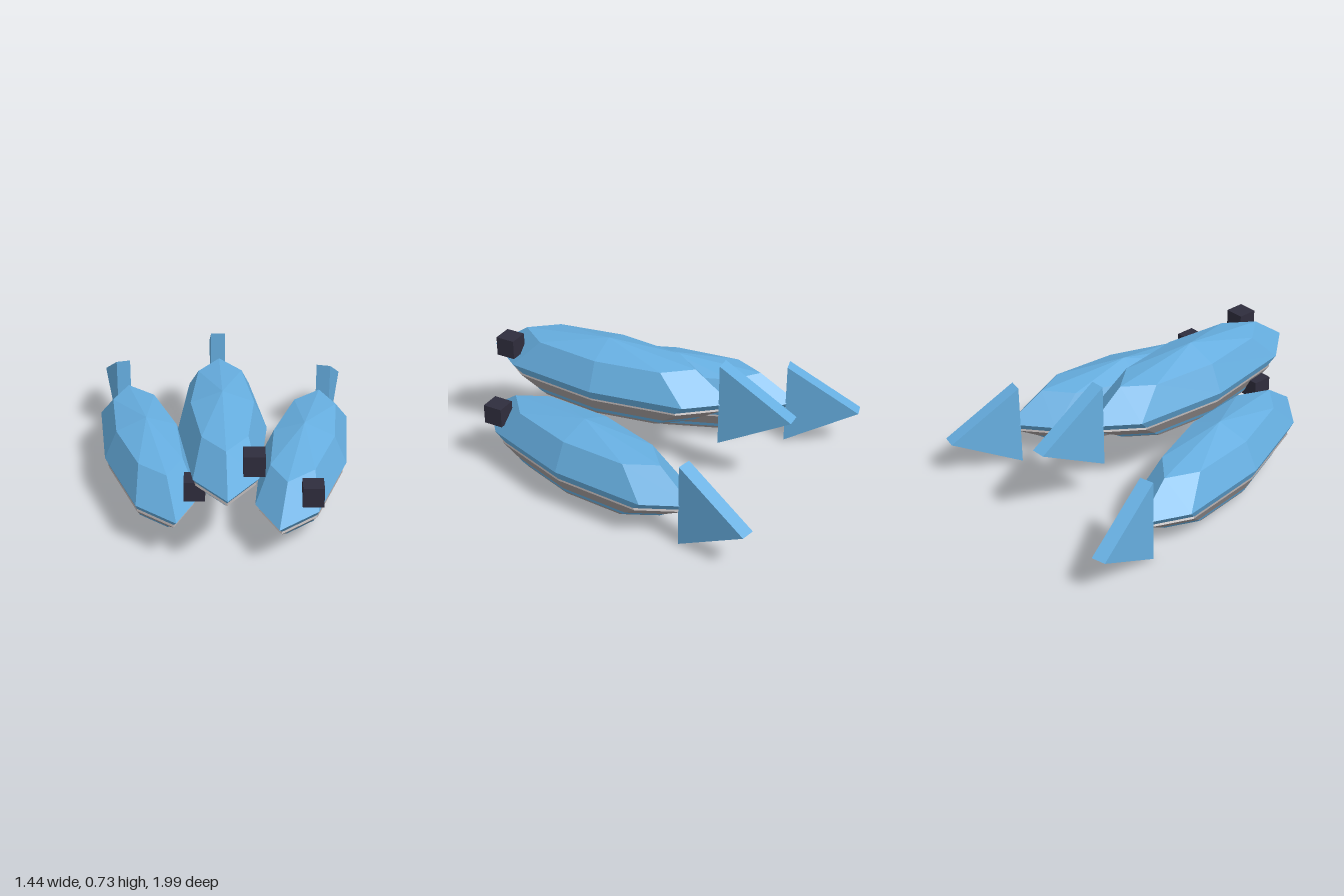
import * as THREE from 'three';

export function createModel() {
  const model = new THREE.Group();
  model.name = 'fishSchool';

  const material = (name, color) => {
    const m = new THREE.MeshStandardMaterial({ color, flatShading: true });
    m.name = name;
    return m;
  };
  const blue = material('scaleBlue', 0x66aee0);
  const grey = material('bellyGrey', 0xa09a9a);
  const dark = material('eyeDark', 0x2f2d3d);

  // Faceted ellipsoids: the belly is a smaller one set lower, so it shows in bands
  const bodyGeo = new THREE.SphereGeometry(1, 8, 4).scale(0.237, 0.223, 0.744);
  const bellyGeo = new THREE.SphereGeometry(1, 8, 4).scale(0.218, 0.165, 0.684);

  // Upright triangular prism pointing backwards
  const tailGeo = new THREE.CylinderGeometry(0.277, 0.277, 0.08, 3)
    .rotateY(Math.PI)
    .rotateZ(Math.PI / 2);
  const eyeGeo = new THREE.BoxGeometry(0.11, 0.11, 0.11);

  const addMesh = (parent, name, geometry, mat, x, y, z) => {
    const mesh = new THREE.Mesh(geometry, mat);
    mesh.name = name;
    mesh.position.set(x, y, z);
    parent.add(mesh);
  };

  // Each fish: centre, heading in degrees, and sideways offset of its eye
  const school = [
    { name: 'middleFish', at: [0, 0.49, 0.245], turn: 2.1, eyeX: 0.159 },
    { name: 'leftFish', at: [0.445, 0.243, 0.137], turn: -12.1, eyeX: 0.02 },
    { name: 'rightFish', at: [-0.415, 0.243, 0.078], turn: 14.1, eyeX: 0.272 },
  ];

  for (const { name, at, turn, eyeX } of school) {
    const fish = new THREE.Group();
    fish.name = name;
    fish.position.set(...at);

    const trunk = new THREE.Group();
    trunk.name = 'trunk';
    trunk.rotation.y = THREE.MathUtils.degToRad(turn);
    addMesh(trunk, 'body', bodyGeo, blue, 0, 0, 0);
    addMesh(trunk, 'belly', bellyGeo, grey, 0, -0.061, 0);
    addMesh(trunk, 'tailFin', tailGeo, blue, 0, -0.003, -0.822);
    fish.add(trunk);

    // The eye block stays square to the front
    addMesh(fish, 'eye', eyeGeo, dark, eyeX, 0.112, 0.545);
    model.add(fish);
  }
  return model;
}
